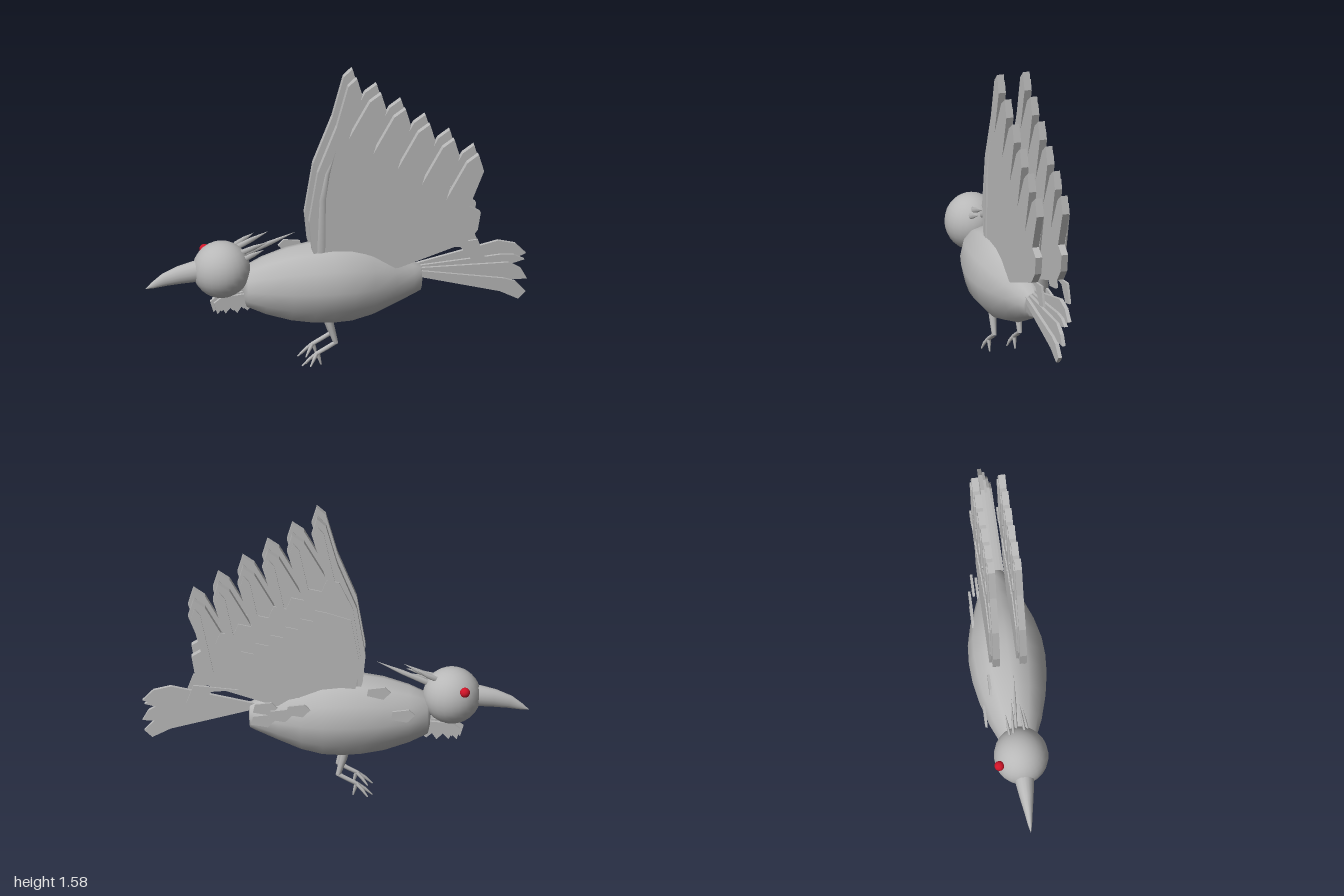
import * as THREE from 'three';

const grey = new THREE.MeshStandardMaterial({ color: 0xb8b8b8 });
grey.name = 'plumage grey';
const red = new THREE.MeshStandardMaterial({ color: 0xd01428 });
red.name = 'eye red';

function add(parent, name, geometry, material = grey) {
  const mesh = new THREE.Mesh(geometry, material);
  mesh.name = name;
  parent.add(mesh);
  return mesh;
}

// Elliptical rings along a path: [x, y, z, radius across the path, radius in z]
function loft(rings, sides = 12) {
  const pos = [], index = [];
  rings.forEach(([x, y, z, r, rz = r], i) => {
    const a = rings[Math.max(i - 1, 0)], b = rings[Math.min(i + 1, rings.length - 1)];
    const len = Math.hypot(b[0] - a[0], b[1] - a[1]) || 1;
    const nx = -(b[1] - a[1]) / len, ny = (b[0] - a[0]) / len;
    for (let j = 0; j < sides; j++) {
      const t = j / sides * Math.PI * 2, c = Math.cos(t) * r;
      pos.push(x + nx * c, y + ny * c, z + Math.sin(t) * rz);
      if (i === rings.length - 1) continue;
      const k = i * sides + j, l = i * sides + (j + 1) % sides;
      index.push(k, l, k + sides, l, l + sides, k + sides);
    }
  });
  const g = new THREE.BufferGeometry();
  g.setAttribute('position', new THREE.Float32BufferAttribute(pos, 3));
  g.setIndex(index);
  g.computeVertexNormals();
  return g;
}

// Flat outline with a thickness, its back face at z
function plate(points, z, depth) {
  const shape = new THREE.Shape(points.map(([x, y]) => new THREE.Vector2(x, y)));
  return new THREE.ExtrudeGeometry(shape, { depth, bevelEnabled: false }).translate(0, 0, z);
}

// Saw-toothed edge between two points
function zigzag(x0, y0, x1, y1, teeth) {
  const pts = [];
  for (let i = 0; i <= teeth; i++) {
    const x = x0 + (x1 - x0) * i / teeth, y = y0 + (y1 - y0) * i / teeth;
    pts.push([x, y]);
    if (i < teeth) pts.push([x + 0.065, y + 0.015]);
  }
  return pts;
}

function makeWing() {
  const wing = new THREE.Group();
  wing.name = 'wing';
  // Main fan with six pointed flight feathers
  const outline = [[-0.1, 0.53], [-0.14, 0.66], [-0.155, 0.81], [-0.11, 1.08], [-0.01, 1.33]];
  for (let i = 0; i < 6; i++) {
    const x = 0.096 + i * 0.1275, y = 1.59 - i * 0.0928;
    outline.push([x - (i ? 0.06 : 0.046), y - 0.042], [x, y], [x + 0.027, y - 0.092]);
    outline.push(i < 5 ? [x - 0.043, y - 0.33] : [x - 0.05, y - 0.284]);
    // Narrow under-feather behind each flight feather
    add(wing, 'underFeather', plate([[x - 0.035, y - 0.08], [x - 0.005, y - 0.045], [x + 0.012, y - 0.1],
      [x - 0.075, y - 0.42], [x - 0.105, y - 0.41]], 0.044, 0.008));
  }
  outline.push([0.743, 0.805], [0.727, 0.71], [0.668, 0.645], [0.31, 0.527]);
  add(wing, 'flightFeathers', plate(outline, 0.052, 0.036));
  // Overlapping covert rows on the inner face
  add(wing, 'longCoverts', plate([[-0.1, 0.6], [-0.13, 0.8], [-0.09, 1.08],
    ...zigzag(-0.02, 1.23, 0.62, 0.88, 7), [0.6, 0.66], [0.31, 0.56]], 0.044, 0.008));
  add(wing, 'shortCoverts', plate([[-0.1, 0.6], [-0.12, 0.8], [-0.08, 1.02],
    ...zigzag(0.04, 1.06, 0.5, 0.78, 6), [0.45, 0.62], [0.3, 0.57]], 0.038, 0.006));
  add(wing, 'innerFeather', plate([[0.5, 0.62], [0.733, 0.645], [0.77, 0.543], [0.706, 0.53], [0.64, 0.61]], 0.044, 0.012));
  // Arm along the leading edge
  add(wing, 'wingArm', loft([[-0.1, 0.53, 0.07, 0.036, 0.02], [-0.092, 0.67, 0.07, 0.038, 0.022],
    [-0.085, 0.93, 0.07, 0.03, 0.022], [-0.06, 1.07, 0.07, 0.023, 0.021], [-0.015, 1.2, 0.07, 0.004, 0.018]]));
  return wing;
}

function makeLeg() {
  const leg = new THREE.Group();
  leg.name = 'leg';
  add(leg, 'thigh', loft([[-0.055, 0.28, 0, 0.022], [-0.04, 0.22, 0, 0.02], [-0.013, 0.125, 0, 0.013]], 8));
  add(leg, 'shin', loft([[-0.005, 0.135, 0, 0.012], [-0.06, 0.103, 0, 0.012], [-0.115, 0.073, 0, 0.011]], 8));
  const toes = [[-0.19, 0.012, 0.004], [-0.165, 0.012, -0.025], [-0.15, 0.012, 0.025], [-0.09, 0.012, 0]];
  for (const [x, y, z] of toes) {
    add(leg, 'toe', loft([[-0.108, 0.078, 0, 0.011], [(x - 0.11) / 2, 0.048, z * 0.6, 0.009], [x, y, z, 0.004]], 6));
  }
  return leg;
}

export function createModel() {
  const bird = new THREE.Group();
  bird.name = 'bird';

  // Body
  const ring = (x, r, rz) => [x, 0.445 - Math.max(0, x) * 0.02, 0, r, rz];
  add(bird, 'body', loft([ring(-0.49, 0), ring(-0.487, 0.07, 0.06), ring(-0.475, 0.11, 0.095), ring(-0.38, 0.155, 0.135),
    ring(-0.25, 0.197, 0.172), ring(-0.13, 0.217, 0.193), ring(-0.03, 0.223, 0.199), ring(0.07, 0.217, 0.192),
    ring(0.18, 0.188, 0.165), ring(0.3, 0.135, 0.118), ring(0.4, 0.089, 0.075), ring(0.44, 0.07, 0.055),
    ring(0.444, 0.06, 0.045), ring(0.447, 0)]));

  // Head, beak and the single eye
  add(bird, 'head', new THREE.SphereGeometry(0.15, 24, 16)).position.set(-0.6, 0.548, 0);
  bird.getObjectByName('head').scale.z = 0.94;
  add(bird, 'beak', loft([[-1, 0.464, 0, 0], [-0.96, 0.482, 0, 0.017, 0.011], [-0.9, 0.509, 0, 0.035, 0.022],
    [-0.82, 0.531, 0, 0.048, 0.037], [-0.74, 0.545, 0, 0.056, 0.049], [-0.66, 0.55, 0, 0.06, 0.055]], 16));
  add(bird, 'eye', new THREE.SphereGeometry(0.026, 16, 12), red).position.set(-0.668, 0.618, -0.122);

  // Crest spikes: root, then tip
  const crest = [[-0.48, 0.62, -0.01, -0.21, 0.735, 0.01], [-0.52, 0.65, -0.03, -0.35, 0.735, -0.02],
    [-0.5, 0.645, 0.03, -0.36, 0.69, 0.02], [-0.52, 0.66, -0.05, -0.42, 0.715, -0.06], [-0.5, 0.61, 0.05, -0.38, 0.655, 0.035]];
  for (const [x, y, z, tx, ty, tz] of crest) {
    add(bird, 'crestSpike', loft([[x, y, z, 0.016, 0.008], [(x + tx) / 2, (y + ty) / 2, (z + tz) / 2, 0.013, 0.007],
      [tx, ty, tz, 0]], 6));
  }

  // Ragged throat feathers
  const throat = [[-0.66, 0.375], [-0.62, 0.405], [-0.46, 0.42], [-0.46, 0.35], [-0.485, 0.325], [-0.515, 0.35],
    [-0.538, 0.315], [-0.57, 0.35], [-0.6, 0.315], [-0.615, 0.345], [-0.642, 0.315]];
  for (const z of [-0.035, 0, 0.03]) {
    add(bird, 'throatFeathers', plate(throat.map(([x, y]) => [x - Math.abs(z) * -0.5, y]), z - 0.008, 0.016));
  }

  // Tail fan
  const tail = [
    [[0.4, 0.505], [0.85, 0.607], [0.94, 0.585], [0.995, 0.528], [0.93, 0.5], [0.4, 0.475]],
    [[0.4, 0.5], [0.86, 0.535], [0.93, 0.53], [0.985, 0.5], [0.89, 0.475], [0.4, 0.47]],
    [[0.4, 0.495], [0.9, 0.495], [0.965, 0.455], [0.995, 0.4], [0.93, 0.4], [0.4, 0.465]],
    [[0.4, 0.49], [0.87, 0.415], [0.93, 0.395], [0.985, 0.335], [0.945, 0.297], [0.85, 0.345], [0.4, 0.46]],
  ];
  tail.forEach((pts, i) => add(bird, 'tailFeather', plate(pts, -0.025 + i * 0.016, 0.02)));

  // Loose feathers on one flank
  const tufts = [[-0.35, 0.5, -0.155], [-0.225, 0.61, -0.115], [0.19, 0.53, -0.155],
    [0.28, 0.5, -0.15], [0.36, 0.53, -0.13], [0.37, 0.45, -0.105]];
  for (const [x, y, z] of tufts) {
    add(bird, 'flankFeather', plate([[x - 0.06, y + 0.005], [x - 0.03, y + 0.035], [x + 0.055, y + 0.025],
      [x + 0.065, y - 0.02], [x - 0.02, y - 0.035]], z - 0.006, 0.012));
  }

  // Raised wings and legs
  for (const z of [0, -0.14]) {
    const wing = makeWing();
    wing.position.z = z;
    bird.add(wing);
  }
  for (const z of [0.068, -0.07]) {
    const leg = makeLeg();
    leg.position.z = z;
    bird.add(leg);
  }
  return bird;
}
